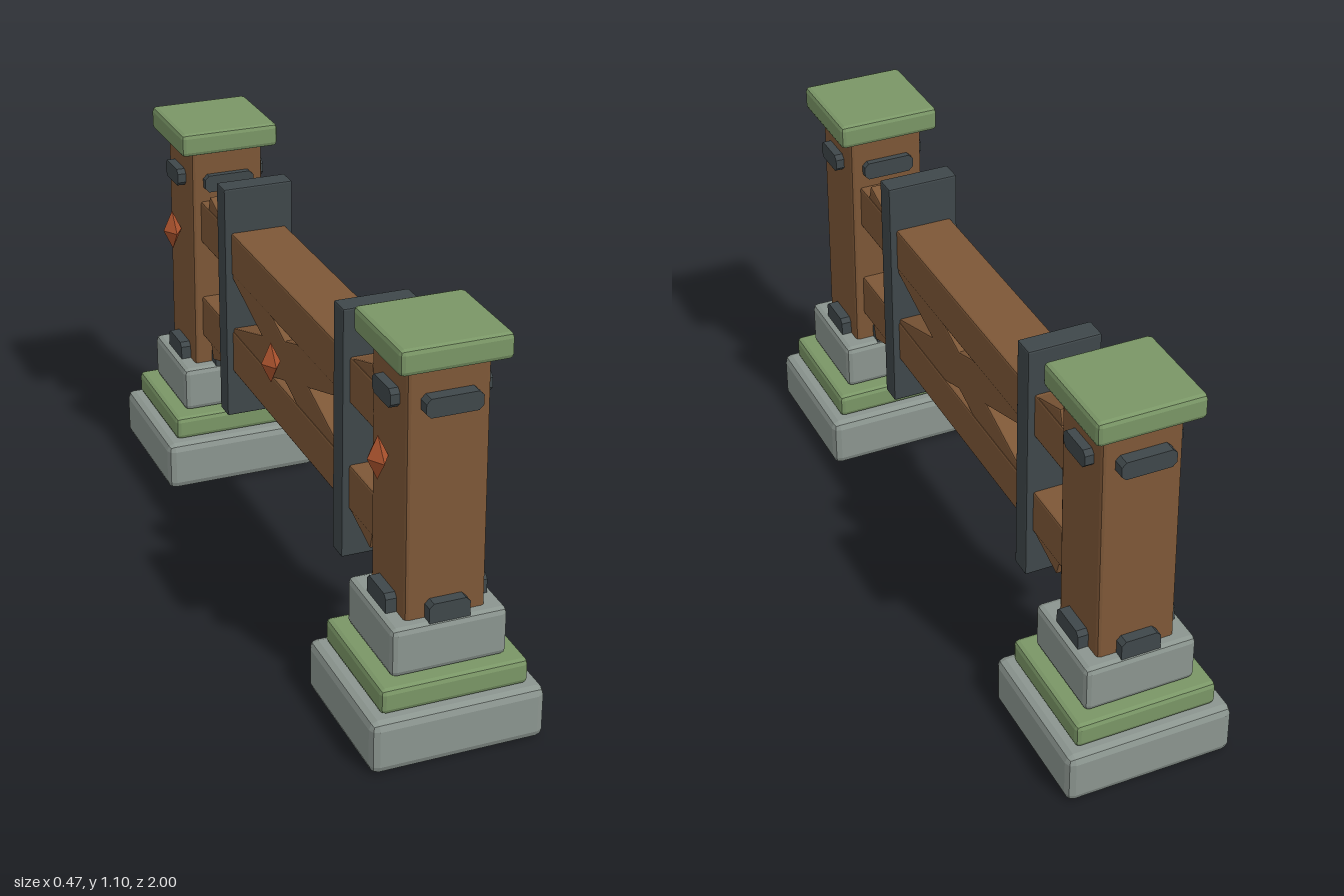
import * as THREE from 'three';
import { RoundedBoxGeometry } from 'three/addons/geometries/RoundedBoxGeometry.js';

const material = (color) => new THREE.MeshStandardMaterial({ color, flatShading: true });

export function createModel() {
  const stone = material(0x8b958f);
  const moss = material(0x7a9666);
  const wood = material(0x7d5737);
  const iron = material(0x3f474a);
  const copper = material(0xb0552f);

  const model = new THREE.Group();
  model.name = 'fenceSection';

  function add(parent, name, geometry, mat, x, y, z) {
    const mesh = new THREE.Mesh(geometry, mat);
    mesh.name = name;
    mesh.position.set(x, y, z);
    parent.add(mesh);
    return mesh;
  }

  // Box with bevelled edges, placed by its centre
  const block = (parent, name, mat, size, pos, bevel) =>
    add(parent, name, new RoundedBoxGeometry(...size, 1, bevel), mat, ...pos);

  // Iron plate with clipped corners, lying in xy and standing out along +z
  function plateGeometry(width, height, depth, clipBottom) {
    const w = width / 2, h = height / 2, c = 0.012, b = clipBottom ? c : 0;
    const shape = new THREE.Shape([
      [-w + b, -h], [w - b, -h], [w, -h + b], [w, h - c],
      [w - c, h], [-w + c, h], [-w, h - c], [-w, -h + b],
    ].filter((p, i, all) => i === 0 || p[0] !== all[i - 1][0] || p[1] !== all[i - 1][1])
      .filter((p, i, all) => i === 0 || i < all.length - 1 || p[0] !== all[0][0] || p[1] !== all[0][1])
      .map(([x, y]) => new THREE.Vector2(x, y)));
    return new THREE.ExtrudeGeometry(shape, { depth, bevelEnabled: false });
  }

  // Four plates around a post, wider on the two end faces
  function plateRing(parent, name, y, endWidth, sideWidth, height, reach, clipBottom) {
    for (let i = 0; i < 4; i++) {
      const geometry = plateGeometry(i % 2 ? sideWidth : endWidth, height, 0.05, clipBottom);
      geometry.translate(0, 0, reach - 0.05);
      add(parent, name, geometry, iron, 0, y, 0).rotation.y = i * Math.PI / 2;
    }
  }

  // Eight-sided pointed stud
  function stud(parent, x, y, z) {
    add(parent, 'stud', new THREE.OctahedronGeometry(1), copper, x, y, z).scale.set(0.028, 0.06, 0.043);
  }

  // End posts on stepped plinths
  for (const side of [1, -1]) {
    const post = new THREE.Group();
    post.name = side > 0 ? 'frontPost' : 'backPost';
    post.position.z = side * 0.784;
    model.add(post);
    block(post, 'plinthBase', stone, [0.47, 0.147, 0.432], [0, 0.0735, 0], 0.022);
    block(post, 'plinthMoss', moss, [0.398, 0.07, 0.37], [0, 0.184, 0], 0.014);
    block(post, 'plinthTop', stone, [0.312, 0.135, 0.29], [0, 0.288, 0], 0.016);
    block(post, 'postCap', moss, [0.292, 0.068, 0.288], [0, 1.064, -side * 0.003], 0.013);

    // The shaft leans a little towards the middle
    const shaft = block(post, 'postShaft', wood, [0.216, 0.72, 0.212], [0, 0.69, -side * 0.003], 0.01);
    shaft.rotation.x = -side * 0.017;

    plateRing(post, 'upperPlate', 0.935, 0.148, 0.112, 0.05, 0.132, true);
    plateRing(post, 'lowerPlate', 0.378, 0.11, 0.118, 0.056, 0.137, false);
    stud(post, -0.137, 0.757, -side * 0.004);
  }

  // Horizontal rails
  for (const [name, y] of [['lowerRail', 0.508], ['upperRail', 0.812]]) {
    block(model, name, wood, [0.164, 0.128, 1.42], [0, y, 0], 0.006);
  }

  // Crossed braces between the rails
  for (const side of [1, -1]) {
    const brace = block(model, 'crossBrace', wood, [0.158, 0.114, 1.308], [0, 0.657, 0], 0.005);
    brace.rotation.x = side * 0.32;
  }

  // Iron straps wrapping both rails
  for (const side of [1, -1]) {
    block(model, 'ironStrap', iron, [0.204, 0.705, 0.064], [0, 0.657, side * 0.44], 0.005);
  }

  // Stud at the crossing of the braces
  stud(model, -0.118, 0.66, 0);

  return model;
}
